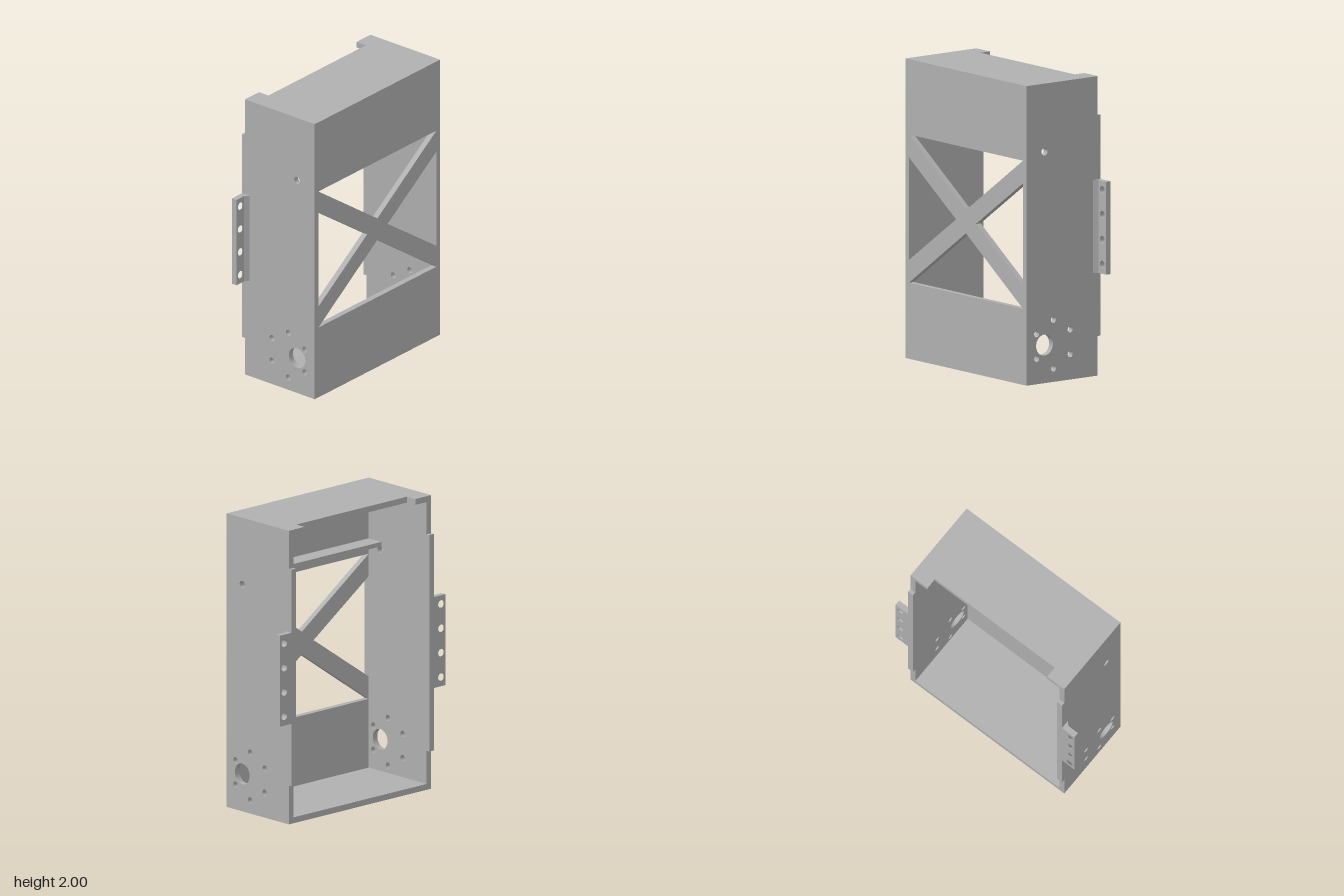
import * as THREE from 'three';

const W = 0.643, T = 0.04, IN = W - T;      // half width, wall thickness, inner half width
const FRONT = 0.31, BACK = -0.285, LIP = -0.31;

const shapeOf = (pts) => new THREE.Shape(pts.map(([x, y]) => new THREE.Vector2(x, y)));

function circleHole(x, y, r) {
  const p = new THREE.Path();
  p.absarc(x, y, r, 0, Math.PI * 2, true);
  return p;
}

const extrude = (shape, depth) =>
  new THREE.ExtrudeGeometry(shape, { depth, bevelEnabled: false, curveSegments: 24 });

export function createModel() {
  const group = new THREE.Group();
  const grey = new THREE.MeshStandardMaterial({ color: 0xb0b0b0 });
  grey.name = 'plain grey';

  const add = (name, geometry, x = 0, y = 0, z = 0) => {
    const mesh = new THREE.Mesh(geometry, grey);
    mesh.name = name;
    mesh.position.set(x, y, z);
    group.add(mesh);
  };

  // Front panel: four triangular windows leave a cross brace
  const front = shapeOf([[-W, 0], [W, 0], [W, 2], [-W, 2]]);
  const windows = [
    [[-0.605, 1.497], [0.605, 1.497], [0, 1.08]],
    [[-0.605, 0.508], [0.605, 0.508], [0, 0.925]],
    [[-0.605, 0.66], [-0.605, 1.345], [-0.105, 1.0025]],
    [[0.605, 0.66], [0.605, 1.345], [0.105, 1.0025]],
  ];
  for (const pts of windows) front.holes.push(shapeOf(pts));
  add('frontPanel', extrude(front, T), 0, 0, FRONT - T);

  // Bottom panel, and top panel with a notch in its rear edge (shape y is -z)
  const f = -(FRONT - T), b = -BACK;
  const bottom = shapeOf([[-W, f], [W, f], [W, b], [-W, b]]);
  const top = shapeOf([[-W, f], [W, f], [W, b], [0.5, b], [0.5, 0.205],
    [-0.5, 0.205], [-0.5, b], [-W, b]]);
  add('bottomPanel', extrude(bottom, T).rotateX(-Math.PI / 2));
  add('topPanel', extrude(top, T).rotateX(-Math.PI / 2), 0, 2 - T);

  // Side wall with raised rear lip and motor mount holes (shape x is -z)
  const wall = shapeOf([[f, T], [b, T], [b, 0.265], [-LIP, 0.265],
    [-LIP, 1.74], [b, 1.74], [b, 2 - T], [f, 2 - T]]);
  const holes = [
    [0.16, 0.255, 0.07], [0.16, 1.545, 0.025],
    [0.225, 0.335, 0.021], [0.225, 0.17, 0.021],
    [0.085, 0.415, 0.021], [0.085, 0.09, 0.021],
    [-0.055, 0.335, 0.021], [-0.055, 0.17, 0.021],
  ];
  for (const [z, y, r] of holes) wall.holes.push(circleHole(-z, y, r));
  const wallGeometry = extrude(wall, T).rotateY(Math.PI / 2);
  add('leftWall', wallGeometry, IN);
  add('rightWall', wallGeometry, -W);

  // Mounting flanges with screw holes and a small sloped gusset
  for (const s of [1, -1]) {
    const side = s > 0 ? 'left' : 'right';
    const flange = shapeOf([[s * W, 0.69], [s * 0.748, 0.69], [s * 0.748, 1.31], [s * W, 1.31]]);
    for (let i = 0; i < 4; i++) flange.holes.push(circleHole(s * 0.708, 0.753 + i * 0.166, 0.025));
    add(side + 'Flange', extrude(flange, 0.038), 0, 0, LIP);

    const gusset = shapeOf([[s * W, 0.272], [s * W, 0.247], [s * 0.668, 0.272]]);
    add(side + 'Gusset', extrude(gusset, 0.62).rotateX(-Math.PI / 2), 0, 0.69);
  }

  // Inner shelf above the windows
  add('innerShelf', new THREE.BoxGeometry(IN * 2, 0.03, 0.122), 0, 1.587, 0.209);

  return group;
}
